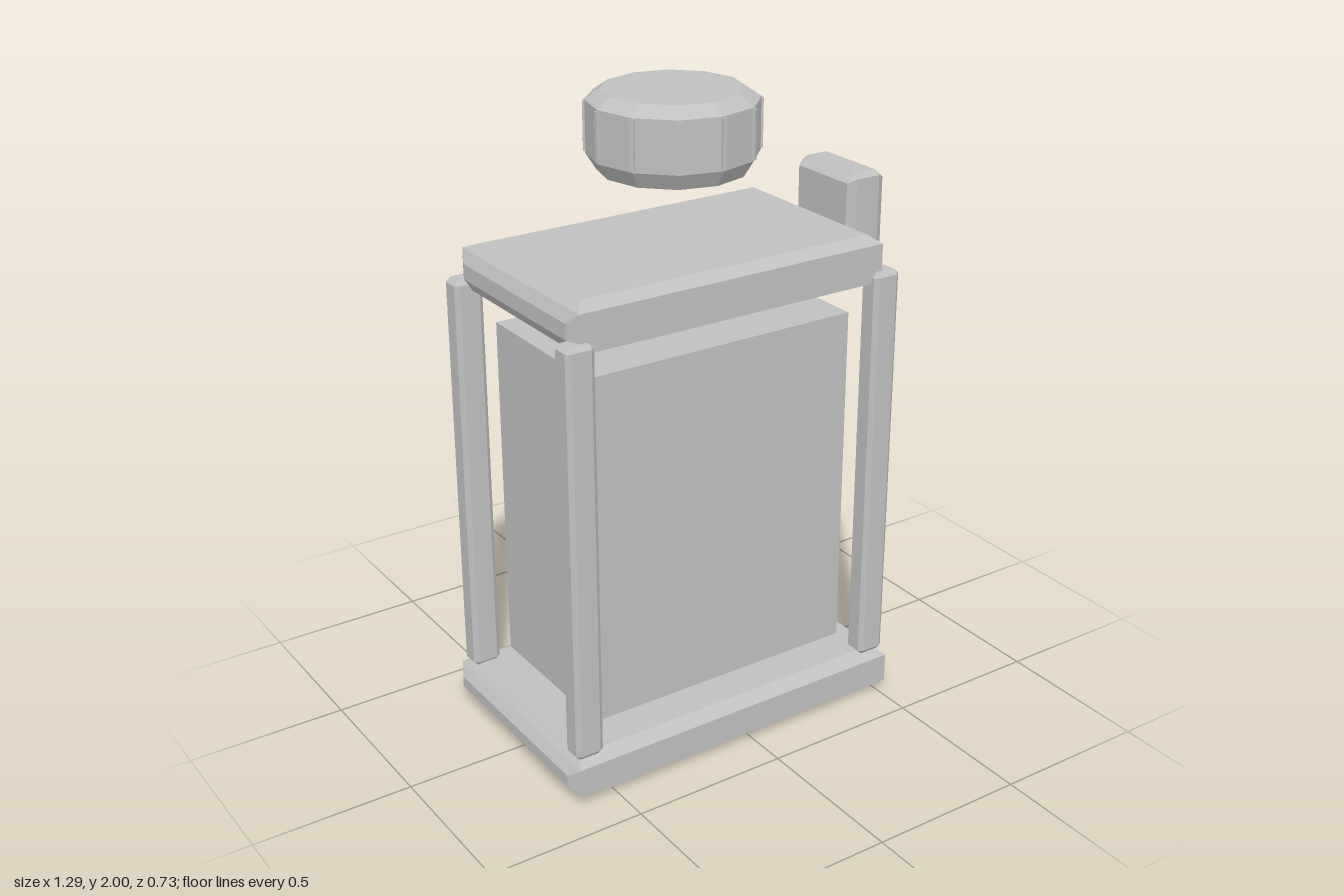
import * as THREE from 'three';
import { ConvexGeometry } from 'three/addons/geometries/ConvexGeometry.js';

const CX = -0.047; // the body sits slightly off centre, balancing the side latch

// Chamfered block from its limits. [bx, bz]: inset of the top and bottom faces,
// [cx, fy]: inset of the front and back faces, [sy, cz]: inset of the side faces.
function chamferBlock([x0, x1], [y0, y1], [z0, z1], { bx, bz, cx, fy, sy, cz }) {
  const hx = (x1 - x0) / 2, hy = (y1 - y0) / 2, hz = (z1 - z0) / 2;
  const points = [];
  for (const i of [-1, 1]) for (const j of [-1, 1]) for (const k of [-1, 1]) {
    points.push(
      new THREE.Vector3(i * (hx - bx), j * hy, k * (hz - bz)),
      new THREE.Vector3(i * (hx - cx), j * (hy - fy), k * hz),
      new THREE.Vector3(i * hx, j * (hy - sy), k * (hz - cz)));
  }
  const geometry = new ConvexGeometry(points);
  geometry.translate((x0 + x1) / 2, (y0 + y1) / 2, (z0 + z1) / 2);
  return geometry;
}

function plainBlock([x0, x1], [y0, y1], [z0, z1]) {
  return new THREE.BoxGeometry(x1 - x0, y1 - y0, z1 - z0)
    .translate((x0 + x1) / 2, (y0 + y1) / 2, (z0 + z1) / 2);
}

export function createModel() {
  const model = new THREE.Group();
  model.name = 'canister';
  const grey = new THREE.MeshStandardMaterial({ color: 0xc0c0c0 });
  grey.name = 'light grey';

  const add = (name, geometry, parent = model) => {
    const mesh = new THREE.Mesh(geometry, grey);
    mesh.name = name;
    parent.add(mesh);
    return mesh;
  };

  // Base and lid slabs
  add('base', chamferBlock([-0.646, 0.553], [0, 0.146], [-0.367, 0.367],
    { bx: 0.048, bz: 0.042, cx: 0.022, fy: 0.025, sy: 0.055, cz: 0.04 }));
  add('lid', chamferBlock([-0.588, 0.493], [1.39, 1.548], [-0.331, 0.331],
    { bx: 0.045, bz: 0.047, cx: 0.02, fy: 0.02, sy: 0.055, cz: 0.042 }));

  // Inner tank
  add('tank', plainBlock([-0.505, 0.41], [0.19, 1.303], [-0.26, 0.26]));

  // Four corner posts
  const posts = new THREE.Group();
  posts.name = 'posts';
  model.add(posts);
  for (const sx of [-1, 1]) for (const sz of [-1, 1]) {
    const x = CX + sx * 0.529, z = sz * 0.316;
    add('post', chamferBlock([x - 0.046, x + 0.046], [0.14, 1.444], [z - 0.036, z + 0.036],
      { bx: 0.015, bz: 0.012, cx: 0.014, fy: 0.014, sy: 0.014, cz: 0.011 }), posts);
  }

  // Side latch
  add('latch', chamferBlock([0.502, 0.64], [1.33, 1.68], [-0.134, 0.134],
    { bx: 0.032, bz: 0.016, cx: 0.026, fy: 0.016, sy: 0.028, cz: 0.016 }));

  // Level gauge on the back: a strip with tick marks
  const gauge = new THREE.Group();
  gauge.name = 'gauge';
  model.add(gauge);
  add('gaugeStrip', plainBlock([0.393, 0.472], [0.17, 1.4], [-0.355, -0.335]), gauge);
  for (let i = 0; i < 4; i++) {
    const y = 0.3 + i * 0.27;
    add('gaugeTick', plainBlock([0.305, 0.47], [y - 0.007, y + 0.007], [-0.364, -0.35]), gauge);
  }

  // Twelve-sided cap, floating above the lid
  const cap = new THREE.Group();
  cap.name = 'cap';
  cap.position.x = CX;
  model.add(cap);
  const profile = [[0, 1.765], [0.222, 1.765], [0.253, 1.815], [0.253, 1.97], [0.208, 2], [0, 2]]
    .map(([r, y]) => new THREE.Vector2(r, y));
  const capGeometry = new THREE.LatheGeometry(profile, 12).toNonIndexed();
  capGeometry.computeVertexNormals();
  add('capBody', capGeometry, cap);

  // Grip ribs on the cap corners
  for (let i = 0; i < 12; i++) {
    const rib = add('capRib', new THREE.BoxGeometry(0.014, 0.146, 0.02), cap);
    const a = i * Math.PI / 6;
    rib.position.set(Math.sin(a) * 0.248, 1.893, Math.cos(a) * 0.248);
    rib.rotation.y = a;
  }
  return model;
}
